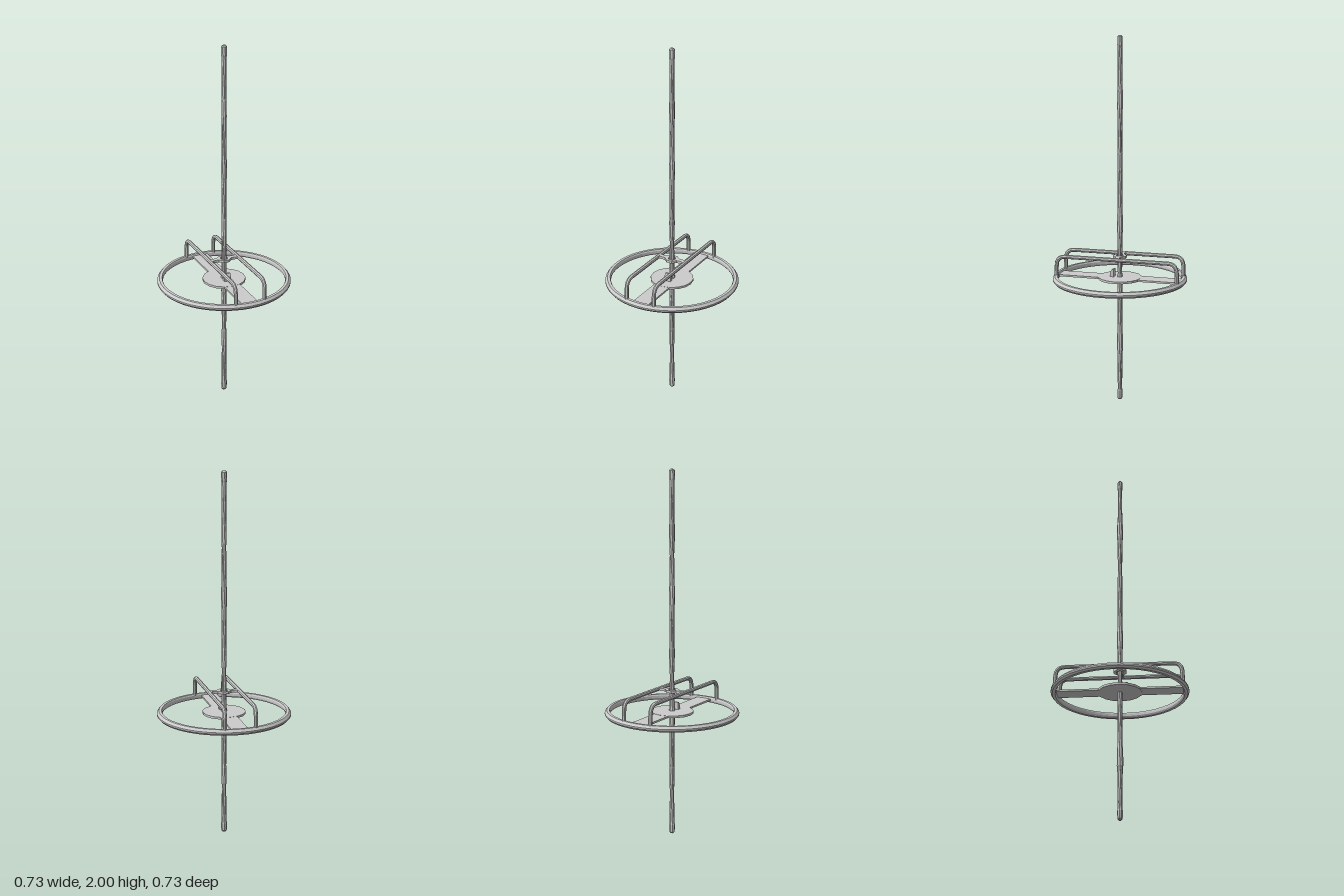
import * as THREE from 'three';

const mat = new THREE.MeshStandardMaterial({ color: 0xcccccc, flatShading: true });

export function createModel() {
  const group = new THREE.Group();
  const add = (name, geometry, x = 0, y = 0, z = 0) => {
    const mesh = new THREE.Mesh(geometry, mat);
    mesh.name = name;
    mesh.position.set(x, y, z);
    group.add(mesh);
    return mesh;
  };

  // Pole: slim shaft with slight swellings, alternately wide in x and in z
  const rings = [[0, 0.008], [0.008, 0.015], [0.05, 0.016], [0.06, 0.0135]];
  for (let i = 1; i < 6; i++) {
    const y = i / 3;
    rings.push([y - 0.055, 0.0135], [y - 0.045, 0.0155], [y + 0.045, 0.0155], [y + 0.055, 0.0135]);
  }
  rings.push([1.94, 0.0135], [1.95, 0.016], [1.992, 0.015], [2, 0.008]);
  const pole = new THREE.LatheGeometry(
    [[0, 0], ...rings.map(([y, r]) => [r, y]), [0, 2]].map(p => new THREE.Vector2(...p)), 8);
  const p = pole.attributes.position;
  for (let i = 0; i < p.count; i++) {
    const y = p.getY(i), x = p.getX(i), z = p.getZ(i);
    const wave = Math.cos(y * 3 * Math.PI) * 0.09;
    const twist = y * 2.4, c = Math.cos(twist), s = Math.sin(twist);
    p.setX(i, (x * c - z * s) * (1 + wave));
    p.setZ(i, (x * s + z * c) * (1 - wave));
  }
  pole.computeVertexNormals();
  add('pole', pole);

  // Outer ring with a faceted cross-section
  const profile = [[0.335, 0.69], [0.341, 0.68], [0.357, 0.68], [0.365, 0.69],
    [0.365, 0.698], [0.354, 0.711], [0.339, 0.711], [0.335, 0.703], [0.335, 0.69]];
  add('outerRing', new THREE.LatheGeometry(profile.map(q => new THREE.Vector2(...q)), 48));

  // Foot plate: a strip across the ring and a central disc
  add('footStrip', new THREE.BoxGeometry(0.09, 0.01, 0.67), 0, 0.697, 0);
  add('footDisc', new THREE.CylinderGeometry(0.118, 0.118, 0.012, 16), 0, 0.697, 0);

  // Two bent handrails
  const v = (y, z) => new THREE.Vector3(0, y, z);
  const railPath = new THREE.CurvePath();
  railPath.add(new THREE.LineCurve3(v(0.7, 0.335), v(0.765, 0.333)));
  railPath.add(new THREE.QuadraticBezierCurve3(v(0.765, 0.333), v(0.814, 0.331), v(0.814, 0.285)));
  railPath.add(new THREE.LineCurve3(v(0.814, 0.285), v(0.814, -0.285)));
  railPath.add(new THREE.QuadraticBezierCurve3(v(0.814, -0.285), v(0.814, -0.331), v(0.765, -0.333)));
  railPath.add(new THREE.LineCurve3(v(0.765, -0.333), v(0.7, -0.335)));
  for (const side of [-1, 1]) {
    add(side > 0 ? 'leftRail' : 'rightRail',
      new THREE.TubeGeometry(railPath, 60, 0.0115, 8), side * 0.083);
  }

  // Crossbar with an eight-sided collar around the pole
  const quarter = [[0.083, 0.015], [0.07, 0.015], [0.055, 0.012], [0.036, 0.014], [0.015, 0.034]];
  const outline = [
    ...quarter,
    ...quarter.map(([x, y]) => [-x, y]).reverse(),
    ...quarter.map(([x, y]) => [-x, -y]),
    ...quarter.map(([x, y]) => [x, -y]).reverse(),
  ];
  const bar = new THREE.Shape(outline.map(q => new THREE.Vector2(...q)));
  bar.holes.push(new THREE.Path().absarc(0, 0, 0.02, 0, Math.PI * 2, true));
  const barGeometry = new THREE.ExtrudeGeometry(bar, { depth: 0.014, bevelEnabled: false, curveSegments: 8 });
  add('crossbar', barGeometry.rotateX(-Math.PI / 2), 0, 0.807, 0);

  // Small wedge-shaped latch in front of the pole
  const wedge = new THREE.Shape([[0.03, 0.7], [0.05, 0.7], [0.05, 0.728], [0.041, 0.744], [0.03, 0.744]]
    .map(([z, y]) => new THREE.Vector2(-z, y)).reverse());
  const latch = new THREE.ExtrudeGeometry(wedge, { depth: 0.037, bevelEnabled: false });
  add('latch', latch.translate(0, 0, -0.0185).rotateY(Math.PI / 2));

  return group;
}
